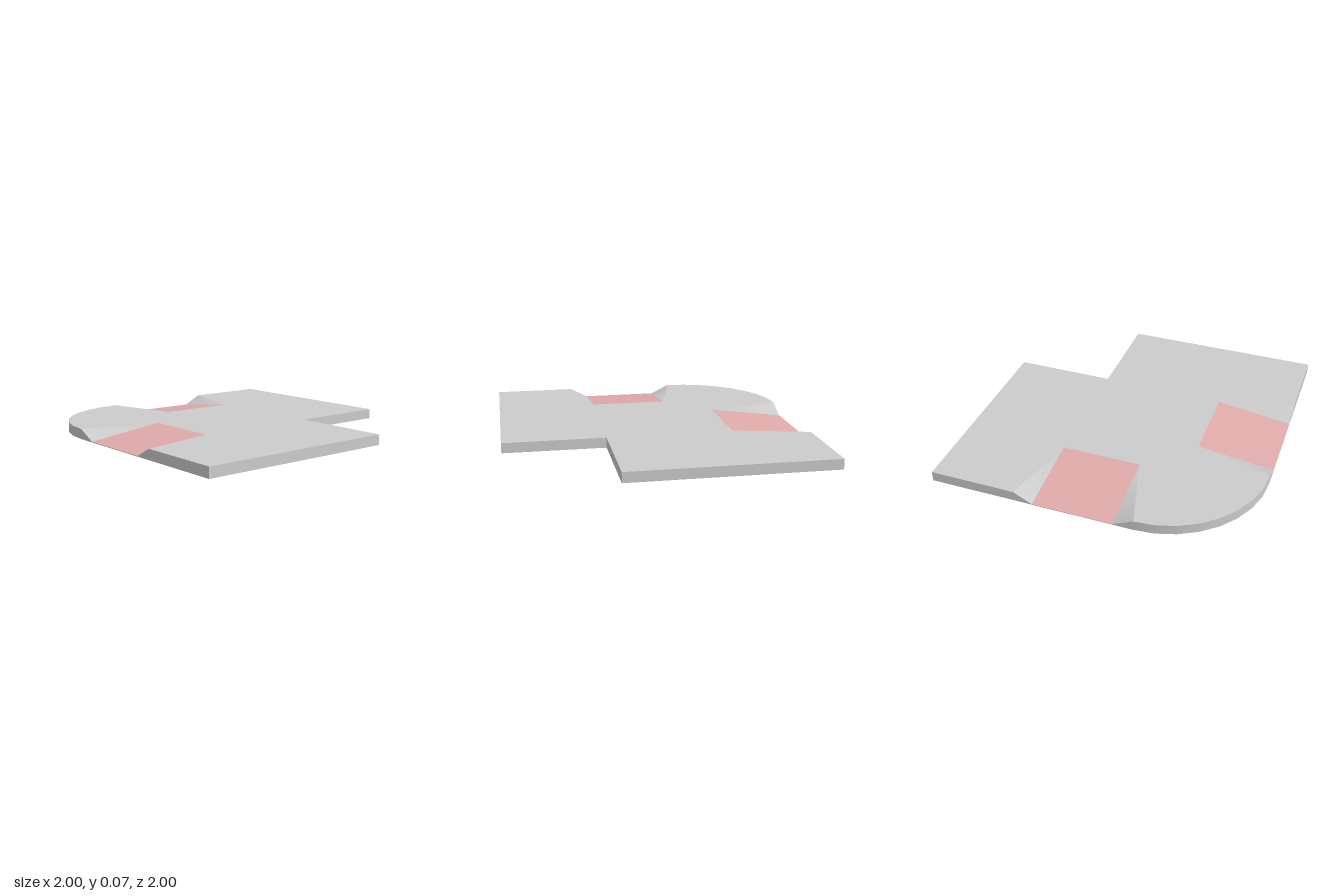
import * as THREE from 'three';
import { toCreasedNormals } from 'three/addons/utils/BufferGeometryUtils.js';

const H = 0.067;        // slab height
const FOOT = 0.004;     // height of the ramp's lower edge
const R = 0.667;        // rounded corner radius
const N = 0.333;        // notch and corner-centre offset
const RAMP = { x0: -0.2, x1: 0.32, f0: -N, f1: 0.44, z0: 0.5 };

const grey = new THREE.MeshStandardMaterial({ color: 0xcccccc, side: THREE.DoubleSide });
const pink = new THREE.MeshStandardMaterial({ color: 0xe0aaaa, side: THREE.DoubleSide });

// The slab is symmetric about its diagonal: (x, z) -> (-z, -x)
const mirror = ([x, y, z]) => [-z, y, -x];

function named(name, geometry, material) {
  const mesh = new THREE.Mesh(geometry, material);
  mesh.name = name;
  return mesh;
}

function triangles(list) {
  const g = new THREE.BufferGeometry();
  g.setAttribute('position', new THREE.Float32BufferAttribute(list.flat(2), 3));
  g.computeVertexNormals();
  return g;
}

// Full outline as [x, topHeight, z], running anticlockwise seen from above
function outline() {
  const arc = [];
  for (let i = 0; i <= 8; i++) {
    const a = (i / 8) * Math.PI / 2;
    arc.push([-N - R * Math.cos(a), H, N + R * Math.sin(a)]);
  }
  const front = [
    [RAMP.x0, FOOT, 1], [RAMP.x1, FOOT, 1], [RAMP.f1, H, 1],
    [1, H, 1], [1, H, -N],
  ];
  const back = front.map(mirror).reverse();
  return [...arc, ...front, [N, H, -N], ...back];
}

// Flat top, cut back around both ramps
function topGeometry(points) {
  const inner = [[RAMP.x0, H, RAMP.z0], [RAMP.x1, H, RAMP.z0]];
  const sideInner = inner.map(mirror).reverse();
  let a = 0, b = 0;
  const flat = points.map((p) => {
    if (p[1] === H) return p;
    return p[2] > 0.99 ? inner[a++] : sideInner[b++];
  });
  const shape = new THREE.Shape(flat.map(([x, , z]) => new THREE.Vector2(x, -z)));
  return new THREE.ShapeGeometry(shape).rotateX(-Math.PI / 2).translate(0, H, 0);
}

// Skirt wall round the open-bottomed slab
function wallGeometry(points) {
  const tris = [];
  points.forEach((a, i) => {
    const b = points[(i + 1) % points.length];
    const a0 = [a[0], 0, a[2]], b0 = [b[0], 0, b[2]];
    tris.push([a0, b0, b], [a0, b, a]);
  });
  return toCreasedNormals(triangles(tris), 0.4);
}

// Sloping panel with a triangular flare on each side
function ramp(name, mirrored) {
  const { x0, x1, f0, f1, z0 } = RAMP;
  const place = (tri) => (mirrored ? tri.map(mirror).reverse() : tri);
  const p0 = [x0, FOOT, 1], p1 = [x1, FOOT, 1], q0 = [x0, H, z0], q1 = [x1, H, z0];
  const group = new THREE.Group();
  group.name = name;
  group.add(named('rampPanel', triangles([place([p0, p1, q1]), place([p0, q1, q0])]), pink));

  const flares = triangles([place([[f0, H, 1], p0, q0]), place([p1, [f1, H, 1], q1])]);
  // Shading fades into the flat top at the ramp's upper corners
  const pos = flares.attributes.position, nor = flares.attributes.normal;
  for (let i = 0; i < pos.count; i++) {
    const depth = mirrored ? -pos.getX(i) : pos.getZ(i);
    if (depth < 0.9) nor.setXYZ(i, 0, 1, 0);
  }
  group.add(named('rampFlares', flares, grey));
  return group;
}

export function createModel() {
  const model = new THREE.Group();
  model.name = 'pavementCorner';
  const points = outline();
  model.add(
    named('pavementTop', topGeometry(points), grey),
    named('kerbWall', wallGeometry(points), grey),
    ramp('frontRamp', false),
    ramp('sideRamp', true),
  );
  return model;
}
